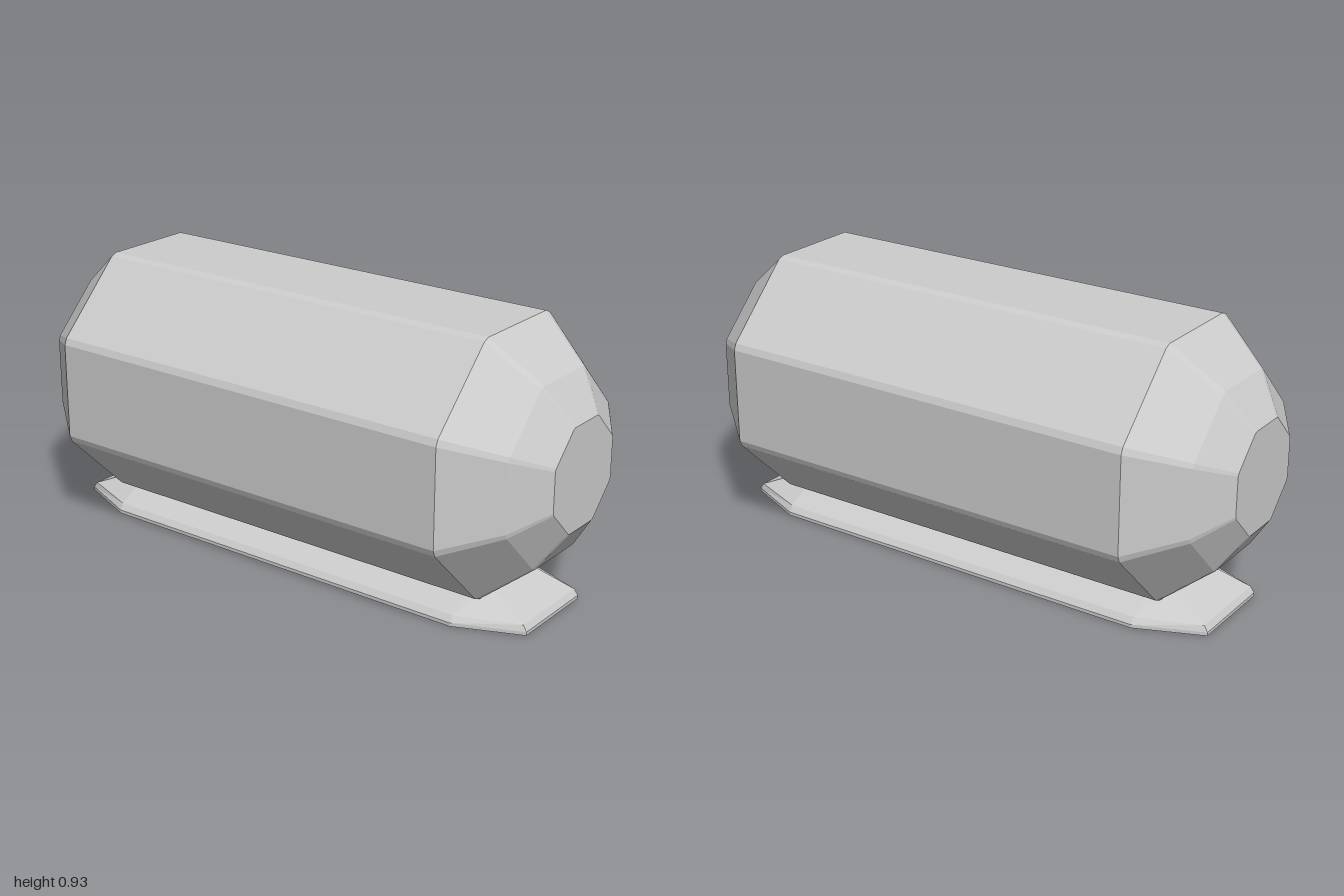
import * as THREE from 'three';

const material = new THREE.MeshStandardMaterial({ color: 0xcccccc, flatShading: true });

// Skin a stack of equal-length rings and close both ends.
function loft(rings) {
  const n = rings[0].length;
  const pos = [];
  const tri = (...pts) => pts.forEach((p) => pos.push(p.x, p.y, p.z));
  for (let i = 0; i < rings.length - 1; i++) {
    for (let j = 0; j < n; j++) {
      const k = (j + 1) % n;
      const [a, b, c, d] = [rings[i][j], rings[i][k], rings[i + 1][k], rings[i + 1][j]];
      tri(a, b, c);
      tri(a, c, d);
    }
  }
  const first = rings[0], last = rings[rings.length - 1];
  for (let j = 1; j < n - 1; j++) {
    tri(first[0], first[j + 1], first[j]);
    tri(last[0], last[j], last[j + 1]);
  }
  const geometry = new THREE.BufferGeometry();
  geometry.setAttribute('position', new THREE.Float32BufferAttribute(pos, 3));
  geometry.computeVertexNormals();
  return geometry;
}

// Octagon with narrow bevelled corners, upright in the xy plane.
function tankRing(z, scale) {
  const ring = [];
  for (let k = 0; k < 8; k++) {
    for (const offset of [-1.5, 1.5]) {
      const a = THREE.MathUtils.degToRad(k * 45 + 22.5 + offset);
      ring.push(new THREE.Vector3(0.4585 * scale * Math.cos(a), 0.4585 * scale * Math.sin(a), z));
    }
  }
  return ring;
}

// Long rectangle with chamfered ends, lying flat at height y.
function footRing([y, halfWidth, halfLength, endX, sideZ]) {
  return [
    [halfWidth, sideZ], [halfWidth, -sideZ], [endX, -halfLength], [-endX, -halfLength],
    [-halfWidth, -sideZ], [-halfWidth, sideZ], [-endX, halfLength], [endX, halfLength],
  ].map(([x, z]) => new THREE.Vector3(x, y, z));
}

export function createModel() {
  const group = new THREE.Group();
  group.name = 'storageTank';

  // Straight barrel with two-step domed ends
  const stations = [[-1, 0.403], [-0.915, 0.693], [-0.75, 1], [0.75, 1], [0.915, 0.693], [1, 0.403]];
  const tank = new THREE.Mesh(loft(stations.map(([z, s]) => tankRing(z, s))), material);
  tank.name = 'tankBody';
  tank.position.y = 0.503;
  group.add(tank);

  // Sloping foot: y, half width, half length, end corner x, side corner z
  const levels = [
    [0, 0.25, 0.92, 0.157, 0.7],
    [0.012, 0.25, 0.92, 0.157, 0.7],
    [0.032, 0.235, 0.907, 0.155, 0.7],
    [0.095, 0.122, 0.76, 0.112, 0.7],
  ];
  const foot = new THREE.Mesh(loft(levels.map(footRing)), material);
  foot.name = 'baseFoot';
  group.add(foot);

  return group;
}
